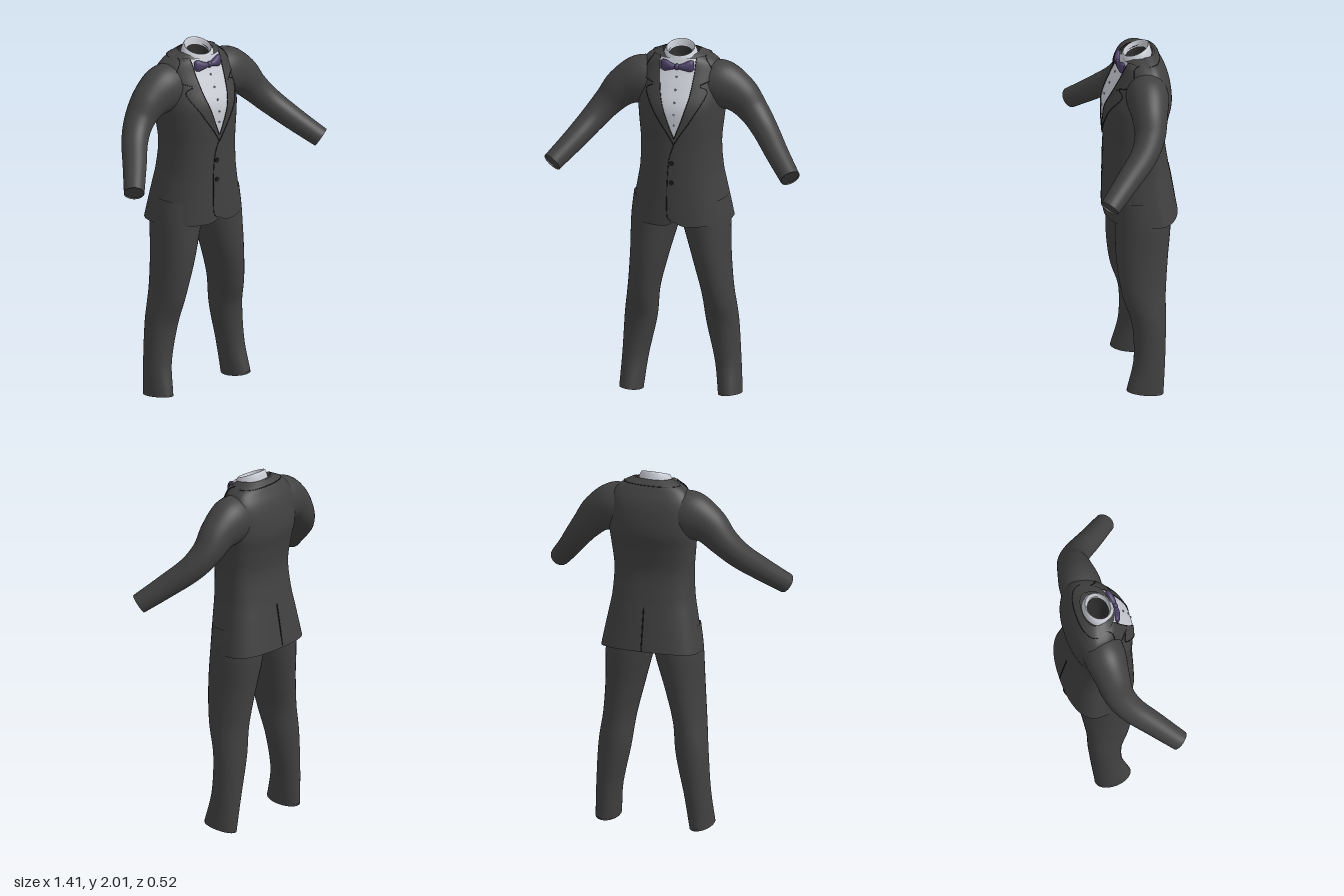
import * as THREE from 'three';

const mat = (name, color) => {
  const m = new THREE.MeshStandardMaterial({ color, side: THREE.DoubleSide });
  m.name = name;
  return m;
};

// Smooth interpolation of table rows [key, ...values] with ascending keys
function sample(rows, t) {
  const n = rows.length;
  let i = 0;
  while (i < n - 2 && t > rows[i + 1][0]) i++;
  const slope = (k, c) => {
    const a = rows[Math.max(k - 1, 0)], b = rows[Math.min(k + 1, n - 1)];
    return (b[c] - a[c]) / (b[0] - a[0]);
  };
  const p = rows[i], q = rows[i + 1], h = q[0] - p[0];
  const s = Math.min(Math.max((t - p[0]) / h, 0), 1), s2 = s * s, s3 = s2 * s;
  return p.slice(1).map((_, k) => {
    const c = k + 1;
    return (2 * s3 - 3 * s2 + 1) * p[c] + (s3 - 2 * s2 + s) * h * slope(i, c)
      + (3 * s2 - 2 * s3) * q[c] + (s3 - s2) * h * slope(i + 1, c);
  });
}
const indexed = (rows) => rows.map((r, i) => [i, ...r]);

// Surface from f(u, v) -> [x, y, z]; closed welds the seam in u
function grid(f, nu, nv, closed = false) {
  const pos = [], idx = [], cols = closed ? nu : nu + 1;
  for (let j = 0; j <= nv; j++) for (let i = 0; i < cols; i++) pos.push(...f(i / nu, j / nv));
  for (let j = 0; j < nv; j++) for (let i = 0; i < nu; i++) {
    const a = j * cols + i, b = j * cols + (i + 1) % cols;
    idx.push(a, b, a + cols, b, b + cols, a + cols);
  }
  const g = new THREE.BufferGeometry();
  g.setAttribute('position', new THREE.Float32BufferAttribute(pos, 3));
  g.setIndex(idx);
  g.computeVertexNormals();
  return g;
}

// Jacket body: [y, half width, front z, back z]
const TORSO = [
  [1.0, 0.28, 0.147, -0.258], [1.1, 0.262, 0.146, -0.243], [1.2, 0.243, 0.144, -0.226],
  [1.3, 0.226, 0.142, -0.208], [1.45, 0.22, 0.141, -0.19], [1.58, 0.232, 0.144, -0.207],
  [1.68, 0.24, 0.14, -0.227], [1.79, 0.235, 0.095, -0.218], [1.86, 0.222, 0.062, -0.198],
  [1.91, 0.192, 0.043, -0.17], [1.935, 0.15, 0.036, -0.153], [1.957, 0.1, 0.028, -0.127]];
const POWER = 2.3;

function surfaceZ(x, y, side = 1) {
  const [w, zf, zb] = sample(TORSO, y), zc = zb * 0.65 + zf * 0.35;
  const k = Math.min(Math.abs(x) / w, 0.999);
  return zc + ((side > 0 ? zf : zb) - zc) * Math.pow(1 - Math.pow(k, POWER), 1 / POWER);
}

function torsoPoint(theta, y, grow = 0) {
  const [w, zf, zb] = sample(TORSO, y), zc = zb * 0.65 + zf * 0.35;
  const bend = (c) => Math.sign(c) * Math.pow(Math.abs(c), 2 / POWER);
  const c = bend(Math.cos(theta)), s = bend(Math.sin(theta));
  const x = c * (w + grow), z = zc + s * ((s > 0 ? zf - zc : zc - zb) + grow);
  const hem = Math.max(0, 1 - (y - 1) / 0.1), neck = Math.max(0, (y - 1.9) / 0.057);
  const lift = s > 0 ? 0.03 * Math.exp(-((x / 0.03) ** 2)) : 0.015 * s * s;
  return [x, y + hem * lift + neck * (s > 0 ? -0.025 * s * s : 0.005), z];
}

// Tapered limb along rows [x, y, z, in-plane radius, depth radius], with an inset end
function limb(rows, s, inset = 0.01) {
  const table = indexed(rows.map(([x, ...r]) => [x * s, ...r])), end = rows.length - 1;
  const ring = (t, theta, scale = 1, shift = 0) => {
    const [x, y, z, a, b] = sample(table, t);
    const p0 = sample(table, Math.max(t - 0.02, 0)), p1 = sample(table, Math.min(t + 0.02, end));
    const T = new THREE.Vector3(p1[0] - p0[0], p1[1] - p0[1], p1[2] - p0[2]).normalize();
    const U = new THREE.Vector3(0, 0, 1).cross(T).normalize(), V = T.clone().cross(U);
    return new THREE.Vector3(x, y, z).addScaledVector(U, a * scale * Math.cos(theta))
      .addScaledVector(V, b * scale * Math.sin(theta)).addScaledVector(T, shift).toArray();
  };
  const tau = Math.PI * 2;
  return [grid((u, v) => ring(v * end, u * tau), 36, 40, true),
    grid((u, v) => ring(end, u * tau, 1 - v, -inset), 36, 2, true)];
}

// Panel laid on the chest between two edges of [x, y] points
function drape(outer, inner, s, lift) {
  const A = indexed(outer), B = indexed(inner);
  return grid((u, v) => {
    const k = s > 0 ? u : 1 - u;
    const a = sample(A, v * (A.length - 1)), b = sample(B, v * (B.length - 1));
    const x = a[0] + (b[0] - a[0]) * k, y = a[1] + (b[1] - a[1]) * k;
    return [x * s, y, surfaceZ(x, y) + lift];
  }, 14, 24);
}

// Thin seam that follows the jacket surface
function seam(points, s = 1, side = 1, lift = 0.007, r = 0.0022) {
  const t = indexed(points), pts = [];
  for (let i = 0; i <= 24; i++) {
    const [x, y] = sample(t, i / 24 * (t.length - 1));
    pts.push(new THREE.Vector3(x * s, y, surfaceZ(x, y, side) + side * lift));
  }
  return new THREE.TubeGeometry(new THREE.CatmullRomCurve3(pts), 40, r, 5);
}

export function createModel() {
  const root = new THREE.Group();
  root.name = 'formalSuit';
  const cloth = mat('charcoalCloth', 0x414141), dark = mat('darkSeam', 0x1c1c1c);
  const lining = mat('innerLining', 0x2c2c2c), white = mat('shirtWhite', 0xcbcdd6);
  const purple = mat('purpleSatin', 0x4b4066), grey = mat('studGrey', 0x83858f);
  const add = (name, geo, m) => {
    const mesh = new THREE.Mesh(geo, m);
    mesh.name = name;
    root.add(mesh);
    return mesh;
  };
  const tau = Math.PI * 2;

  // Jacket body
  add('jacketBody', grid((u, v) => torsoPoint(u * tau, 1.957 - v * 0.952), 72, 72, true), cloth);

  // Sleeves and trouser legs
  const sleeve = [[0.12, 1.775, -0.07, 0.12, 0.11], [0.22, 1.768, -0.068, 0.135, 0.115],
    [0.32, 1.72, -0.062, 0.108, 0.098], [0.4, 1.637, -0.05, 0.083, 0.084],
    [0.475, 1.55, 0.0, 0.071, 0.074], [0.56, 1.455, 0.1, 0.063, 0.066], [0.66, 1.352, 0.215, 0.055, 0.056]];
  const leg = [[0.12, 1.12, -0.052, 0.14, 0.15], [0.145, 0.98, -0.052, 0.13, 0.152],
    [0.174, 0.79, -0.043, 0.105, 0.142], [0.204, 0.6, -0.048, 0.088, 0.122],
    [0.226, 0.42, -0.072, 0.089, 0.094], [0.256, 0.2, -0.07, 0.072, 0.086], [0.274, 0.012, -0.043, 0.065, 0.102]];
  // Collar and lapel edges, from top to bottom
  const collarOuter = [[0.14, 1.937], [0.178, 1.88], [0.185, 1.825], [0.13, 1.8]];
  const collarInner = [[0.1, 1.94], [0.095, 1.85], [0.083, 1.76]];
  const lapelOuter = [[0.13, 1.793], [0.168, 1.755], [0.1, 1.63], [0.04, 1.54], [0.0, 1.475]];
  const lapelInner = [[0.083, 1.765], [0.068, 1.7], [0.035, 1.6], [0.0, 1.515]];
  const opening = [[0.1, 1.935], [0.095, 1.85], [0.083, 1.76], [0.068, 1.7], [0.035, 1.6], [0.0, 1.51]];
  const wing = [[0.008, 1.894, 0.06, 0.012, 0.012], [0.035, 1.894, 0.057, 0.02, 0.018],
    [0.065, 1.896, 0.05, 0.032, 0.018], [0.083, 1.896, 0.043, 0.032, 0.014], [0.09, 1.896, 0.04, 0.025, 0.006]];

  for (const s of [1, -1]) {
    const side = s > 0 ? 'left' : 'right';
    limb(sleeve, s).forEach((g, i) => add(side + (i ? 'CuffInside' : 'Sleeve'), g, cloth));
    limb(leg, s).forEach((g, i) => add(side + (i ? 'LegInside' : 'TrouserLeg'), g, cloth));
    limb(wing, s, 0).forEach((g, i) => add(side + (i ? 'BowEnd' : 'BowWing'), g, purple));
    add(side + 'Collar', drape(collarOuter, collarInner, s, 0.007), cloth);
    add(side + 'Lapel', drape(lapelOuter, lapelInner, s, 0.007), cloth);
    add(side + 'CollarSeam', seam(collarOuter, s), dark);
    add(side + 'LapelSeam', seam(lapelOuter, s), dark);
    add(side + 'OpeningSeam', seam(opening, s), dark);
  }

  // Jacket collar around the back of the neck
  add('backCollar', grid((u, v) =>
    torsoPoint(Math.PI * (0.98 + 1.04 * u), 1.957 - v * 0.024, 0.008), 36, 6), cloth);
  add('backCollarSeam', new THREE.TubeGeometry(new THREE.CatmullRomCurve3(
    Array.from({ length: 19 }, (_, i) => new THREE.Vector3(
      ...torsoPoint(Math.PI * (1 + i / 18), 1.933, 0.008)))), 48, 0.0022, 5), dark);

  // Shirt front, collar and dark neck opening
  add('shirtFront', drape(opening, opening.map(([x, y]) => [-x, y]), 1, 0.004), white);
  const rings = indexed([[0.066, 0.058, 1.94], [0.074, 0.066, 1.972], [0.08, 0.072, 1.972],
    [0.091, 0.08, 1.95], [0.1, 0.088, 1.915]]);
  add('shirtCollar', grid((u, v) => {
    const [rx, rz, y] = sample(rings, v * 4), z = rz * Math.sin(u * tau);
    return [rx * Math.cos(u * tau), y - 0.4 * z, z - 0.037];
  }, 48, 12, true), white);
  add('neckLining', grid((u, v) => {
    const r = 0.008 + 0.06 * v, z = r * 0.9 * Math.sin(u * tau);
    return [r * Math.cos(u * tau), 1.6 + 0.35 * v - 0.4 * z, z - 0.037];
  }, 36, 6, true), lining);

  // Bow knot
  const knot = add('bowKnot', new THREE.SphereGeometry(0.018, 20, 14), purple);
  knot.position.set(0, 1.894, 0.062);
  knot.scale.set(0.9, 1, 0.8);

  // Buttons and studs
  const button = (name, x, y, r, lift, m) => {
    const b = add(name, new THREE.CylinderGeometry(r, r, 0.006, 16), m);
    b.rotation.x = Math.PI / 2;
    b.position.set(x, y, surfaceZ(x, y) + lift);
  };
  for (const y of [1.365, 1.255]) button('jacketButton', -0.015, y, 0.013, 0.003, dark);
  for (const y of [1.84, 1.775, 1.71, 1.645, 1.585]) button('shirtStud', 0, y, 0.006, 0.005, grey);

  // Front closing edge and back vent
  add('frontEdgeSeam', seam([[0, 1.475], [-0.025, 1.4], [-0.036, 1.3], [-0.04, 1.15],
    [-0.036, 1.06], [-0.015, 1.035]], 1, 1, 0.001), dark);
  add('backVent', seam([[0, 1.26], [0, 1.15], [0, 1.02]], 1, -1, 0, 0.004), dark);
  return root;
}
